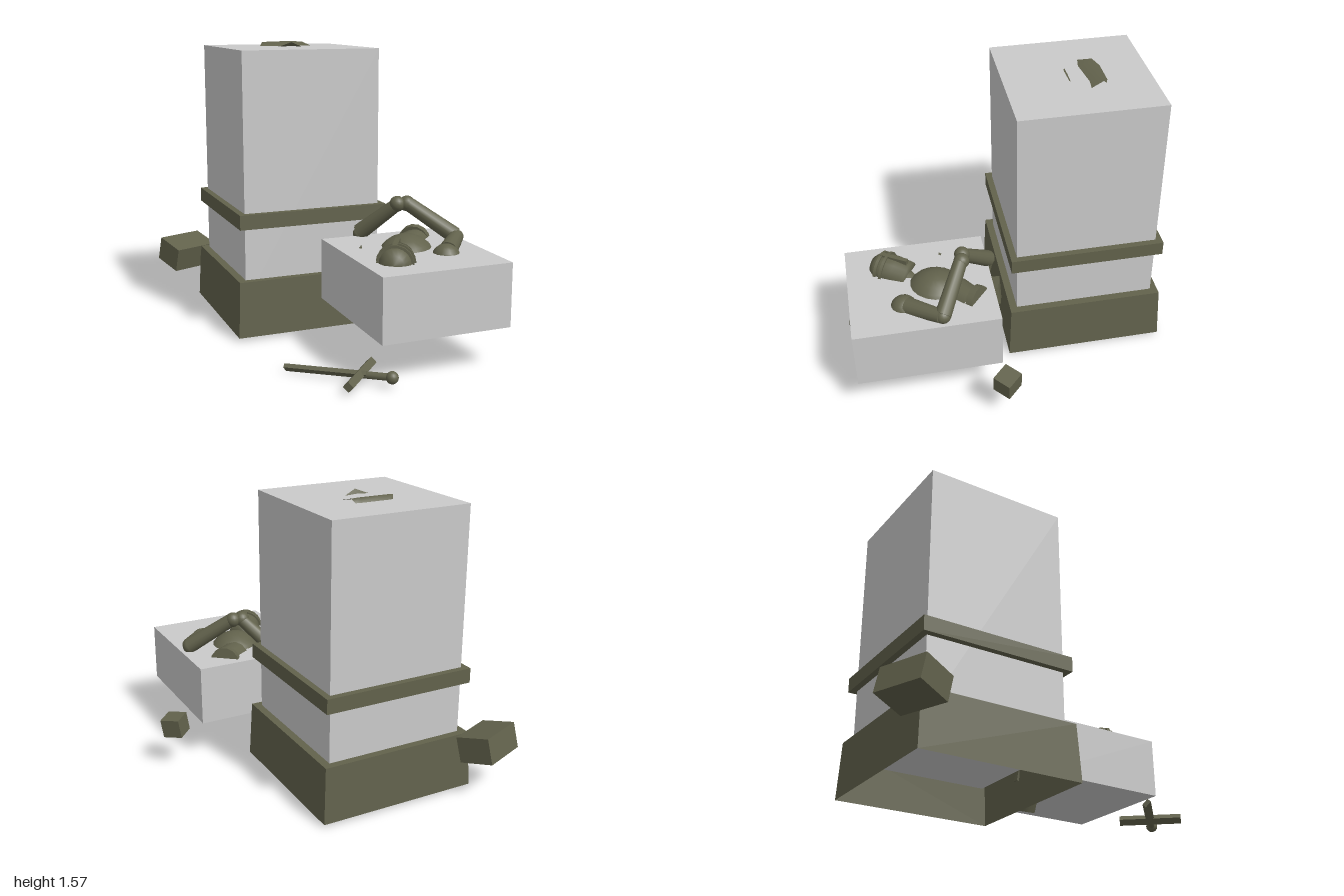
import * as THREE from 'three';

const stone = new THREE.MeshStandardMaterial({ color: 0x62624c });
stone.name = 'olive stone';
const stoneOpen = stone.clone();
stoneOpen.side = THREE.DoubleSide;
const block = new THREE.MeshStandardMaterial({ color: 0xcacaca });
block.name = 'pale grey';

const V = (a) => new THREE.Vector3(...a);

function add(parent, name, geometry, material, pos = [0, 0, 0], rot = [0, 0, 0]) {
  const m = new THREE.Mesh(geometry, material);
  m.name = name;
  m.position.set(...pos);
  m.rotation.set(...rot, 'YXZ');
  parent.add(m);
  return m;
}

// Place a mesh so its local y axis runs from a to b
function between(mesh, a, b) {
  const d = V(b).sub(V(a));
  mesh.position.copy(V(a).addScaledVector(d, 0.5));
  mesh.quaternion.setFromUnitVectors(new THREE.Vector3(0, 1, 0), d.normalize());
  return mesh;
}

function limb(parent, name, a, b, ra, rb, sides = 14) {
  const len = V(a).distanceTo(V(b));
  return between(add(parent, name, new THREE.CylinderGeometry(rb, ra, len, sides), stone), a, b);
}

function ball(parent, name, pos, r, scale = [1, 1, 1]) {
  const m = add(parent, name, new THREE.SphereGeometry(r, 18, 12), stone, pos);
  m.scale.set(...scale);
  return m;
}

function box(parent, name, size, material, pos, rot) {
  return add(parent, name, new THREE.BoxGeometry(...size), material, pos, rot);
}

function createPedestal() {
  const g = new THREE.Group();
  g.name = 'pedestal';
  g.position.set(-0.133, 0, -0.34);
  box(g, 'column', [0.775, 1.34, 0.78], block, [0, 0.87, 0]);
  box(g, 'band', [0.845, 0.08, 0.85], stone, [0, 0.64, 0]);
  // Hollow, slightly tapering plinth
  const s = Math.SQRT1_2;
  const wall = new THREE.CylinderGeometry(0.86 * s, 0.887 * s, 0.305, 4, 1, true).toNonIndexed();
  wall.rotateY(Math.PI / 4);
  wall.computeVertexNormals();
  add(g, 'plinth', wall, stoneOpen, [0, 0.1625, 0]);
  const top = new THREE.Shape([[-0.43, -0.43], [0.43, -0.43], [0.43, 0.43], [-0.43, 0.43]].map((p) => new THREE.Vector2(...p)));
  top.holes.push(new THREE.Path([[-0.38, -0.38], [-0.38, 0.38], [0.38, 0.38], [0.38, -0.38]].map((p) => new THREE.Vector2(...p))));
  const ledge = new THREE.ShapeGeometry(top);
  ledge.rotateX(-Math.PI / 2);
  add(g, 'plinthLedge', ledge, stoneOpen, [0, 0.315, 0]);
  return g;
}

// Thin broken shells left on top of the column
function shard(parent, name, rows) {
  const n = rows[0].length;
  const index = [];
  for (let r = 0; r < rows.length - 1; r++)
    for (let i = 0; i < n - 1; i++) {
      const a = r * n + i;
      index.push(a, a + n, a + 1, a + 1, a + n, a + n + 1);
    }
  const geo = new THREE.BufferGeometry();
  geo.setAttribute('position', new THREE.Float32BufferAttribute(rows.flat(2), 3));
  geo.setIndex(index);
  geo.computeVertexNormals();
  add(parent, name, geo, stoneOpen);
}

function createStatue() {
  const g = new THREE.Group();
  g.name = 'fallenStatue';

  // Torso lies on its back, half sunk in the slab
  const torso = ball(g, 'torso', [0.22, 0.44, 0.49], 0.165, [1, 1, 1.12]);
  torso.rotation.y = -0.55;
  limb(g, 'neck', [0.17, 0.46, 0.56], [0.09, 0.5, 0.67], 0.07, 0.06);

  // Helmeted head, with the crown along local +y
  const head = new THREE.Group();
  head.name = 'head';
  between(head, [0.115, 0.52, 0.62], [-0.01, 0.54, 0.82]);
  g.add(head);
  const profile = [[0, -0.11], [0.08, -0.11], [0.088, -0.03], [0.09, 0.03], [0.078, 0.08], [0.05, 0.11], [0, 0.12]];
  add(head, 'helmet', new THREE.LatheGeometry(profile.map((p) => new THREE.Vector2(...p)), 18), stone);
  for (const [y, r] of [[0.025, 0.1], [0.06, 0.094]])
    add(head, 'helmetRim', new THREE.CylinderGeometry(r, r, 0.016, 18), stone, [0, y, 0]);
  const ridge = box(g, 'faceRidge', [0.025, 0.03, 0.16], stone, [0.06, 0.615, 0.7]);
  ridge.rotation.y = -0.56;

  // Bent arm reaching up and over
  ball(g, 'shoulder', [0.35, 0.51, 0.68], 0.075);
  limb(g, 'upperArm', [0.37, 0.54, 0.66], [0.51, 0.57, 0.5], 0.05, 0.038);
  ball(g, 'elbow', [0.505, 0.565, 0.49], 0.042);
  limb(g, 'forearm', [0.505, 0.57, 0.49], [0.29, 0.735, 0.36], 0.045, 0.038);
  ball(g, 'joint', [0.287, 0.735, 0.355], 0.042);
  ball(g, 'joint', [0.235, 0.735, 0.345], 0.042);
  limb(g, 'lowerLimb', [0.235, 0.73, 0.34], [0.09, 0.56, 0.185], 0.036, 0.046);
  ball(g, 'wrist', [0.085, 0.55, 0.18], 0.033);
  limb(g, 'hand', [0.085, 0.55, 0.18], [0.08, 0.42, 0.2], 0.03, 0.022);

  // Broken hips and leg stumps
  limb(g, 'hip', [0.27, 0.48, 0.39], [0.37, 0.5, 0.31], 0.1, 0.08);
  limb(g, 'beltEdge', [0.355, 0.51, 0.305], [0.38, 0.515, 0.275], 0.085, 0.085);
  limb(g, 'legStump', [0.3, 0.4, 0.42], [0.39, 0.165, 0.43], 0.07, 0.055, 8);
  add(g, 'fragmentTip', new THREE.ConeGeometry(0.04, 0.08, 4), stone, [-0.02, 0.52, 0.435], [0.3, 0.4, 0]);
  return g;
}

function createSword() {
  const g = new THREE.Group();
  g.name = 'sword';
  between(box(g, 'blade', [0.04, 0.43, 0.022], stone), [-0.465, 0.016, 0.6], [-0.19, 0.038, 0.862]);
  between(box(g, 'guard', [0.038, 0.33, 0.038], stone), [-0.31, 0.036, 0.975], [-0.085, 0.04, 0.735]);
  limb(g, 'grip', [-0.2, 0.036, 0.85], [-0.09, 0.046, 0.96], 0.018, 0.018, 10);
  ball(g, 'pommel', [-0.082, 0.045, 0.967], 0.031);
  return g;
}

export function createModel() {
  const model = new THREE.Group();
  model.name = 'ruinedMonument';
  model.add(createPedestal());

  shard(model, 'brokenFootBack', [
    [[-0.235, 1.541, -0.475], [-0.2, 1.543, -0.487], [-0.05, 1.543, -0.487], [-0.02, 1.541, -0.475]],
    [[-0.25, 1.562, -0.455], [-0.2, 1.566, -0.465], [-0.05, 1.566, -0.465], [-0.005, 1.562, -0.455]],
    [[-0.285, 1.543, -0.385], [-0.22, 1.543, -0.373], [-0.05, 1.543, -0.392], [0.02, 1.543, -0.385]],
  ]);
  shard(model, 'brokenFootFront', [
    [[-0.21, 1.541, -0.297], [-0.135, 1.545, -0.297], [-0.065, 1.541, -0.297]],
    [[-0.2, 1.543, -0.29], [-0.135, 1.567, -0.276], [-0.075, 1.543, -0.29]],
  ]);

  box(model, 'frontSlab', [0.695, 0.33, 0.78], block, [0.2125, 0.375, 0.577]);
  model.add(createStatue(), createSword());

  // Loose rubble
  box(model, 'rubbleLarge', [0.27, 0.14, 0.19], stone, [-0.635, 0.273, -0.845], [0.25, 0.38, 0]);
  box(model, 'rubbleSmall', [0.105, 0.105, 0.11], stone, [0.722, 0.237, 0.193], [0.12, 0.75, -0.1]);
  box(model, 'rubbleMiddle', [0.13, 0.11, 0.16], stone, [-0.005, 0.228, 0.18], [0.12, -0.2, 0.2]);
  return model;
}
